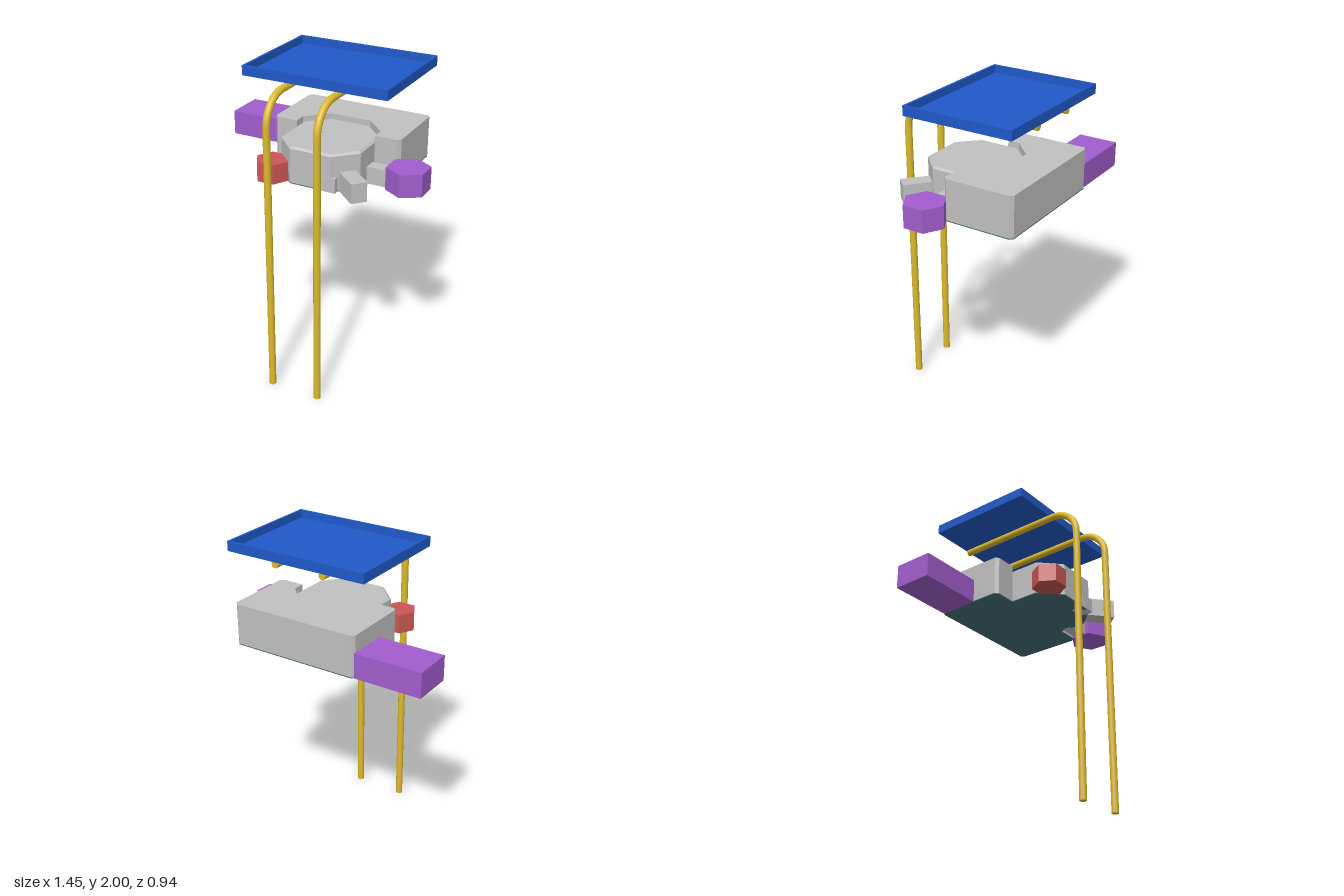
import * as THREE from 'three';

const mat = (name, color) => {
  const m = new THREE.MeshStandardMaterial({ color });
  m.name = name;
  return m;
};

export function createModel() {
  const blue = mat('trayBlue', 0x2059c8);
  const yellow = mat('poleYellow', 0xdcb92c);
  const grey = mat('bodyGrey', 0xc0c0c0);
  const purple = mat('purple', 0xa25dcd);
  const red = mat('red', 0xca5555);
  const teal = mat('baseTeal', 0x44707a);

  const root = new THREE.Group();
  const add = (name, geometry, material, x = 0, y = 0, z = 0, parent = root) => {
    const mesh = new THREE.Mesh(geometry, material);
    mesh.name = name;
    mesh.position.set(x, y, z);
    parent.add(mesh);
    return mesh;
  };
  // Box given by its limits on each axis
  const box = (name, material, x0, x1, y0, y1, z0, z1) =>
    add(name, new THREE.BoxGeometry(x1 - x0, y1 - y0, z1 - z0), material,
      (x0 + x1) / 2, (y0 + y1) / 2, (z0 + z1) / 2);
  // Upright prism from an outline of [x, z] points
  const prism = (name, material, outline, y0, y1) => {
    const shape = new THREE.Shape(outline.map(([x, z]) => new THREE.Vector2(x, -z)));
    const g = new THREE.ExtrudeGeometry(shape, { depth: y1 - y0, bevelEnabled: false });
    g.rotateX(-Math.PI / 2);
    return add(name, g, material, 0, y0, 0);
  };
  // Regular hexagonal outline
  const hexagon = (cx, cz, r, turn) => Array.from({ length: 6 }, (_, i) => {
    const a = turn + i * Math.PI / 3;
    return [cx + r * Math.cos(a), cz + r * Math.sin(a)];
  });

  // Shallow open tray on top
  const [x0, x1, z0, z1] = [-0.375, 0.545, -0.47, 0.235];
  const rim = 0.014;
  box('trayFloor', blue, x0, x1, 1.94, 1.952, z0, z1);
  box('trayRimFront', blue, x0, x1, 1.952, 2, z1 - rim, z1);
  box('trayRimBack', blue, x0, x1, 1.952, 2, z0, z0 + rim);
  box('trayRimRight', blue, x0, x0 + rim, 1.952, 2, z0 + rim, z1 - rim);
  box('trayRimLeft', blue, x1 - rim, x1, 1.952, 2, z0 + rim, z1 - rim);

  // Two bent poles carrying the tray
  const r = 0.022, bend = 0.18, poleZ = 0.448, poleTop = 1.915;
  for (const [name, x] of [['rightPole', -0.09], ['leftPole', 0.23]]) {
    const pole = new THREE.Group();
    pole.name = name;
    root.add(pole);
    const upright = poleTop - bend;
    add('upright', new THREE.CylinderGeometry(r, r, upright, 16), yellow, x, upright / 2, poleZ, pole);
    const elbow = new THREE.TorusGeometry(bend, r, 16, 12, Math.PI / 2).rotateY(-Math.PI / 2);
    add('elbow', elbow, yellow, x, upright, poleZ - bend, pole);
    const start = poleZ - bend, end = -0.445;
    const arm = new THREE.CylinderGeometry(r, r, start - end, 16).rotateX(Math.PI / 2);
    add('topArm', arm, yellow, x, poleTop, (start + end) / 2, pole);
  }

  // Octagonal drum with a chamfered top edge
  const cx = 0.106, cz = 0.045;
  const octagon = (h, s) => [[s, h], [h, s], [h, -s], [s, -h], [-s, -h], [-h, -s], [-h, s], [-s, h]]
    .map(([x, z]) => [cx + x, cz + z]);
  const base = 1.366, skin = 1.36;
  const drum = octagon(0.26, 0.132);
  prism('drum', grey, drum, base, 1.578);
  const inner = octagon(0.246, 0.126);
  const chamfer = [];
  drum.forEach((a, i) => {
    const j = (i + 1) % 8, b = drum[j], c = inner[j], d = inner[i];
    const p = ([x, z], y) => [x, y, z];
    const lo = 1.578, hi = 1.59;
    chamfer.push(...p(a, lo), ...p(b, lo), ...p(c, hi), ...p(a, lo), ...p(c, hi), ...p(d, hi));
    chamfer.push(cx, hi, cz, ...p(d, hi), ...p(c, hi));
  });
  const cap = new THREE.BufferGeometry();
  cap.setAttribute('position', new THREE.Float32BufferAttribute(chamfer, 3));
  cap.computeVertexNormals();
  add('drumTop', cap, grey);

  // Rear block, cut out around the drum
  const c = 0.02, L = -0.308, R = 0.525, B = -0.465, F = -0.01;
  const block = [
    [L + c, F], [-0.154, F], [-0.154, -0.087], [-0.026, -0.215], [0.238, -0.215],
    [0.366, -0.087], [0.366, F], [R - c, F], [R, F - c], [R, B + c], [R - c, B],
    [L + c, B], [L, B + c], [L, F - c],
  ];
  prism('rearBlock', grey, block, base, 1.62);

  // Dark underside
  prism('blockUnderside', teal, block, skin, base);
  prism('drumUnderside', teal, drum, skin, base);

  // Attached units around the drum
  box('longPurpleUnit', purple, -0.73, L + 0.005, skin, 1.515, -0.455, -0.2);
  prism('redHexUnit', red, hexagon(-0.155, 0.28, 0.105, 0), skin, 1.48);
  prism('purpleHexUnit', purple, hexagon(0.611, 0.055, 0.131, Math.PI / 6), skin, 1.5);
  box('hexConnector', grey, 0.35, 0.505, skin, 1.465, 0.015, 0.095);
  box('smallConnector', grey, 0.165, 0.27, skin, 1.45, 0.22, 0.309);
  const spur = add('angledSpur', new THREE.BoxGeometry(0.24, 0.12, 0.096), grey, 0.353, 1.42, 0.27);
  spur.rotation.y = -0.72;

  return root;
}
